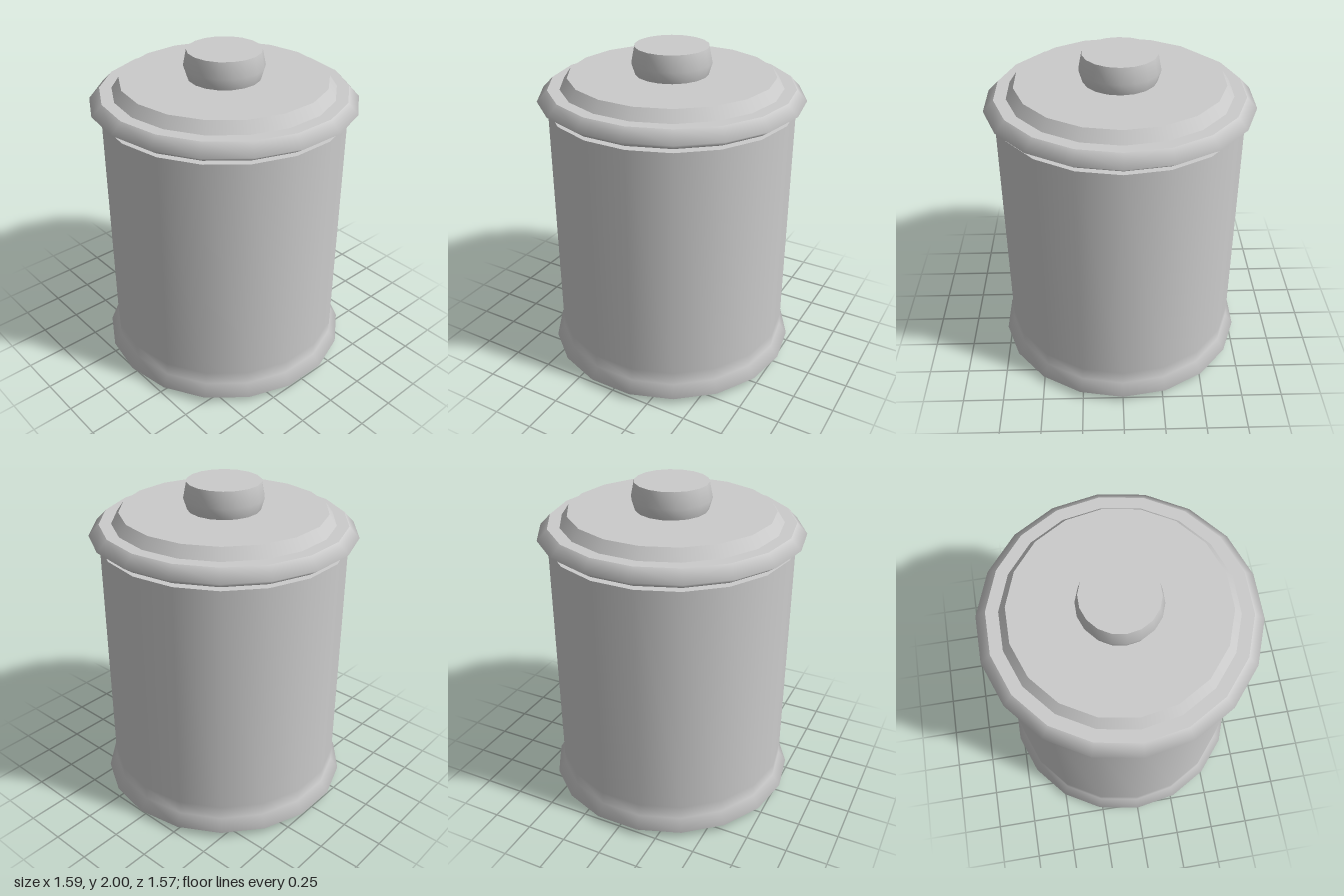
import * as THREE from 'three';
import { mergeGeometries } from 'three/addons/utils/BufferGeometryUtils.js';

const SIDES = 18;

// Each strip is a smooth run of [radius, height] points; creases fall between strips.
function turned(name, strips, material) {
  const lathes = strips.map((strip) => new THREE.LatheGeometry(
    strip.map(([r, y]) => new THREE.Vector2(r, y)), SIDES, Math.PI / 2));
  const mesh = new THREE.Mesh(mergeGeometries(lathes), material);
  mesh.name = name;
  return mesh;
}

export function createModel() {
  const group = new THREE.Group();
  group.name = 'lidded jar';
  const material = new THREE.MeshStandardMaterial({ color: 0xcccccc });

  // Straight wall flowing into a flared foot, with a flat base and shoulder
  group.add(turned('body', [
    [[0, 0], [0.73, 0]],
    [[0.73, 0], [0.785, 0.045], [0.735, 0.115], [0.735, 0.2]],
    [[0.735, 0.2], [0.735, 1.64]],
    [[0.735, 1.64], [0, 1.64]],
  ], material));

  // Recessed collar between the body and the lid
  group.add(turned('neck', [[[0.66, 1.64], [0.66, 1.665]]], material));

  // Bulging rim with a raised, bevelled centre
  group.add(turned('lid', [
    [[0, 1.663], [0.735, 1.663]],
    [[0.735, 1.663], [0.795, 1.705], [0.732, 1.77]],
    [[0.732, 1.77], [0.66, 1.77]],
    [[0.66, 1.77], [0.615, 1.835]],
    [[0.615, 1.835], [0, 1.835]],
  ], material));

  // Rounded knob with a flat top
  group.add(turned('knob', [
    [[0.218, 1.835], [0.239, 1.905], [0.22, 2]],
    [[0.22, 2], [0, 2]],
  ], material));

  return group;
}
